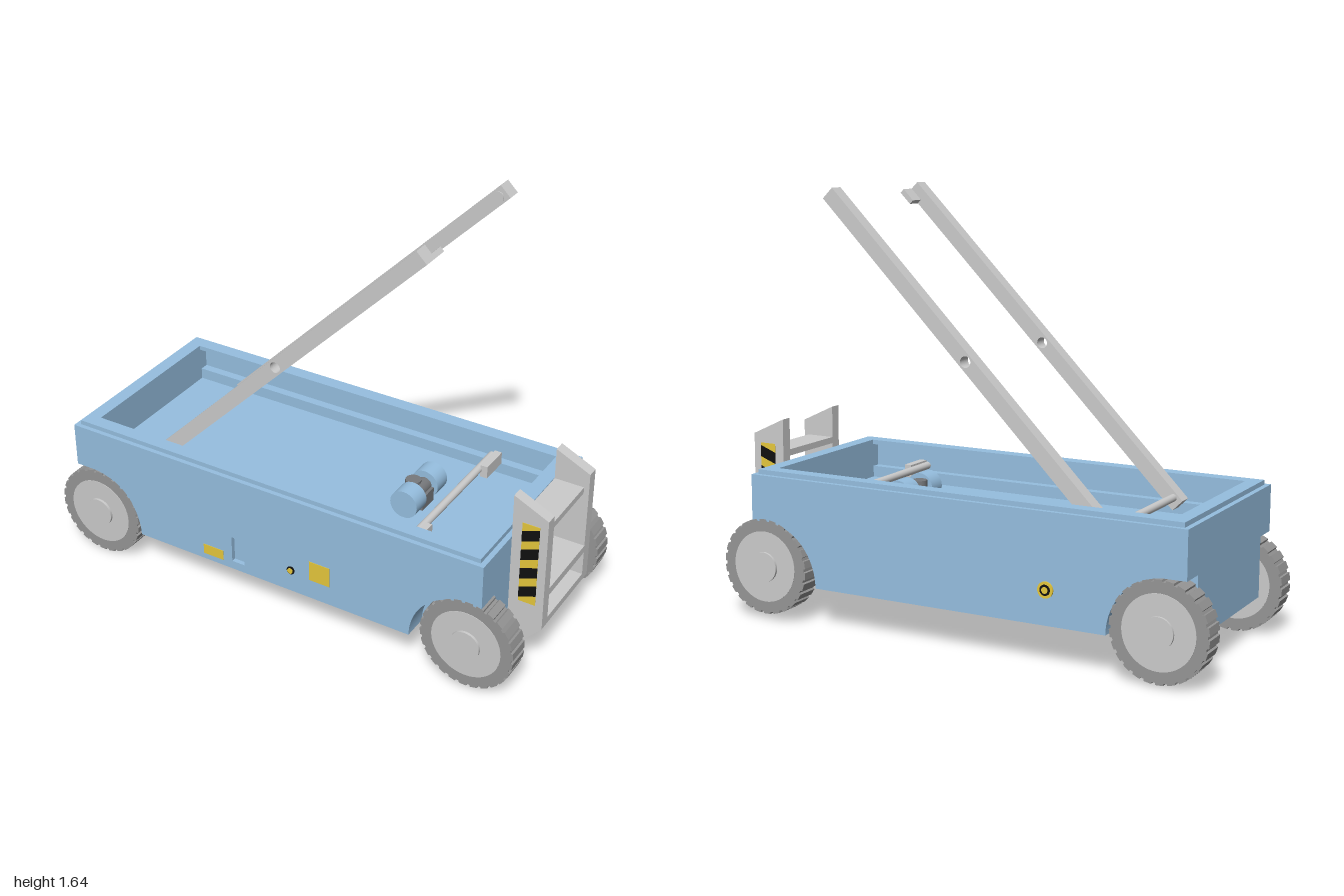
import * as THREE from 'three';

const mat = (name, color) => Object.assign(new THREE.MeshStandardMaterial({ color }), { name });

export function createModel() {
  const root = new THREE.Group();
  root.name = 'liftPlatformBase';
  // the whole vehicle leans very slightly to its front side
  const cart = new THREE.Group();
  cart.name = 'cart';
  cart.rotation.x = 0.011;
  cart.position.z = -0.004;
  root.add(cart);

  const blue = mat('bodyBlue', 0x96bfe0);
  const grey = mat('metalGrey', 0xcccccc);
  const rubber = mat('tyreGrey', 0x969696);
  const yellow = mat('warningYellow', 0xe6c83c);
  const black = mat('stripeBlack', 0x101010);
  const dark = mat('darkMetal', 0x77797c);

  const add = (name, geo, m, x = 0, y = 0, z = 0, parent = cart) => {
    const mesh = new THREE.Mesh(geo, m);
    mesh.name = name;
    mesh.position.set(x, y, z);
    parent.add(mesh);
    return mesh;
  };
  // box given by its limits on each axis
  const box = (name, m, x0, x1, y0, y1, z0, z1, parent) =>
    add(name, new THREE.BoxGeometry(x1 - x0, y1 - y0, z1 - z0), m, (x0 + x1) / 2, (y0 + y1) / 2, (z0 + z1) / 2, parent);
  // cylinder lying along z
  const rod = (name, m, r, len, x, y, z, parent, seg = 32) =>
    add(name, new THREE.CylinderGeometry(r, r, len, seg).rotateX(Math.PI / 2), m, x, y, z, parent);
  const poly = (pts) => new THREE.Shape(pts.map(([x, y]) => new THREE.Vector2(x, y)));
  const rect = (x0, x1, y0, y1) => poly([[x0, y0], [x1, y0], [x1, y1], [x0, y1]]);
  const extrude = (shape, depth) =>
    new THREE.ExtrudeGeometry(shape, { depth, bevelEnabled: false, curveSegments: 20 });

  // ---- chassis ----
  const X0 = -0.915, X1 = 0.86, FLOOR = 0.42;
  box('chassisCore', blue, X0, X1, 0.15, FLOOR, -0.305, 0.305);

  // side skirts with quarter-round wheel arches
  const skirt = (pocket) => {
    const s = new THREE.Shape();
    s.moveTo(X0, 0.38);
    s.lineTo(-0.84, 0.38);
    s.absellipse(-0.84, 0.15, 0.22, 0.23, Math.PI / 2, 0, true);
    s.lineTo(0.575, 0.15);
    s.absellipse(0.795, 0.15, 0.22, 0.23, Math.PI, Math.PI / 2, true);
    s.lineTo(X1, 0.38);
    s.lineTo(X1, FLOOR);
    s.lineTo(X0, FLOOR);
    s.closePath();
    if (pocket) s.holes.push(rect(-0.19, -0.135, 0.185, 0.295));
    return extrude(s, 0.098);
  };
  add('frontSkirt', skirt(true), blue, 0, 0, 0.305);
  add('backSkirt', skirt(false), blue, 0, 0, -0.403);
  box('socketPocketPanel', blue, -0.19, -0.135, 0.185, 0.295, 0.31, 0.385);

  // upper walls and the raised rim around the tray
  const ring = (name, a, b, y, h) => {
    const s = rect(a[0], a[1], -a[2], a[2]);
    s.holes.push(rect(b[0], b[1], -b[2], b[2]));
    add(name, extrude(s, h).rotateX(-Math.PI / 2), blue, 0, y, 0);
  };
  ring('trayWalls', [X0, X1, 0.403], [-0.84, 0.785, 0.37], FLOOR, 0.558 - FLOOR);
  ring('trayRim', [-0.895, 0.84, 0.385], [-0.84, 0.785, 0.33], 0.558, 0.018);
  for (const s of [-1, 1]) {
    box('trayLedge', blue, -0.84, 0.785, FLOOR, 0.465, s * 0.355 - 0.02, s * 0.355 + 0.02);
  }

  // ---- wheels ----
  const LUGS = 26, tread = [];
  for (let i = 0; i < LUGS; i++) {
    [[0.05, 0.185], [0.68, 0.185], [0.74, 0.177], [0.99, 0.177]].forEach(([f, r]) => {
      const a = ((i + f) / LUGS) * Math.PI * 2;
      tread.push([r * Math.cos(a), r * Math.sin(a)]);
    });
  }
  const tyreGeo = extrude(poly(tread), 0.092).translate(0, 0, -0.046);
  for (const [x, y] of [[-0.817, 0.19], [0.805, 0.205]]) {
    for (const s of [-1, 1]) {
      const wheel = new THREE.Group();
      wheel.name = s > 0 ? 'frontSideWheel' : 'backSideWheel';
      wheel.position.set(x, y, s * 0.358);
      cart.add(wheel);
      add('tyre', tyreGeo, rubber, 0, 0, 0, wheel);
      rod('wheelDisc', grey, 0.137, 0.096, 0, 0, 0, wheel, 48);
      rod('hubCap', grey, 0.058, 0.03, 0, 0, s * 0.043, wheel);
    }
  }

  // ---- scissor arms ----
  const ARM = 1.623, W = 0.028;
  const arm = (name, z) => {
    const g = new THREE.Group();
    g.name = name;
    g.position.set(-0.595, 0.47, z);
    g.rotation.z = 0.787;
    cart.add(g);
    const s = rect(-0.005, ARM, -W, W);
    const h = new THREE.Path();
    h.absarc(0.807, 0, 0.021, 0, Math.PI * 2, true);
    s.holes.push(h);
    add('armBeam', extrude(s, 0.056), grey, 0, 0, -0.028, g);
    return g;
  };
  const frontArm = arm('frontArm', 0.298);
  const backArm = arm('backArm', -0.3);
  box('armEndLug', grey, ARM - 0.06, ARM, -W, -0.008, -0.088, -0.028, frontArm);
  rod('armEndPin', grey, 0.02, 0.008, ARM - 0.035, 0, 0.028, backArm, 20);

  // ---- tray cross bars and brackets ----
  rod('leftCrossBar', grey, 0.015, 0.6, -0.58, 0.495, 0, cart, 20);
  rod('rightCrossBar', grey, 0.015, 0.66, 0.522, 0.495, 0, cart, 20);
  for (const s of [-1, 1]) {
    box('crossBarBracket', grey, 0.53, 0.56, 0.465, 0.515, s * 0.275 - 0.06, s * 0.275 + 0.06);
  }

  // ---- pump motor ----
  for (const s of [-1, 1]) rod('motorCan', blue, 0.056, 0.074, 0.383, 0.475, s * 0.08 - 0.006);
  rod('motorShaft', dark, 0.03, 0.1, 0.383, 0.475, -0.003);
  box('motorBlock', dark, 0.345, 0.425, FLOOR, 0.475, -0.045, 0.04);
  add('pumpPort', new THREE.CylinderGeometry(0.03, 0.03, 0.08, 24), dark, 0.36, 0.475, -0.003);

  // ---- entry ladder ----
  const ladder = new THREE.Group();
  ladder.name = 'ladder';
  cart.add(ladder);
  const LX0 = 0.862, LX1 = 0.998;
  const railGeo = extrude(poly([[LX0, 0.06], [LX1, 0.205], [LX1, 0.67], [LX0, 0.735]]), 0.045);
  add('leftRail', railGeo, grey, 0, 0, 0.148, ladder);
  add('rightRail', railGeo, grey, 0, 0, -0.193, ladder);
  add('bottomStep', extrude(poly([[LX0, 0.06], [LX1, 0.205], [LX1, 0.232], [LX0, 0.232]]), 0.296),
    grey, 0, 0, -0.148, ladder);
  box('middleStep', grey, LX0, LX1, 0.33, 0.36, -0.148, 0.148, ladder);
  box('topStep', grey, LX0, LX1 - 0.02, 0.585, 0.61, -0.148, 0.148, ladder);

  // hazard strips on the outer faces of the rails
  for (const s of [-1, 1]) {
    const z = s * 0.193;
    box('hazardStrip', yellow, 0.9, 0.967, 0.3, 0.635, z - 0.0015, z + 0.0015, ladder);
    for (let i = 0; i < 4; i++) {
      const y = 0.316 + i * 0.08;
      add('hazardStripe', extrude(poly([[0.9, y], [0.967, y + 0.025], [0.967, y + 0.069], [0.9, y + 0.044]]), 0.005),
        black, 0, 0, z - 0.0025, ladder);
    }
  }

  // ---- labels and buttons ----
  box('smallLabel', yellow, -0.32, -0.23, 0.175, 0.217, 0.4, 0.405);
  box('largeLabel', yellow, 0.155, 0.242, 0.232, 0.315, 0.4, 0.405);
  rod('frontButtonRing', black, 0.016, 0.01, 0.075, 0.245, 0.403);
  rod('frontButton', yellow, 0.011, 0.01, 0.075, 0.245, 0.407);
  rod('stopButtonPlate', yellow, 0.03, 0.012, -0.39, 0.28, -0.404);
  rod('stopButtonRing', black, 0.02, 0.01, -0.39, 0.28, -0.407);
  rod('stopButton', yellow, 0.012, 0.01, -0.39, 0.28, -0.409);

  return root;
}
